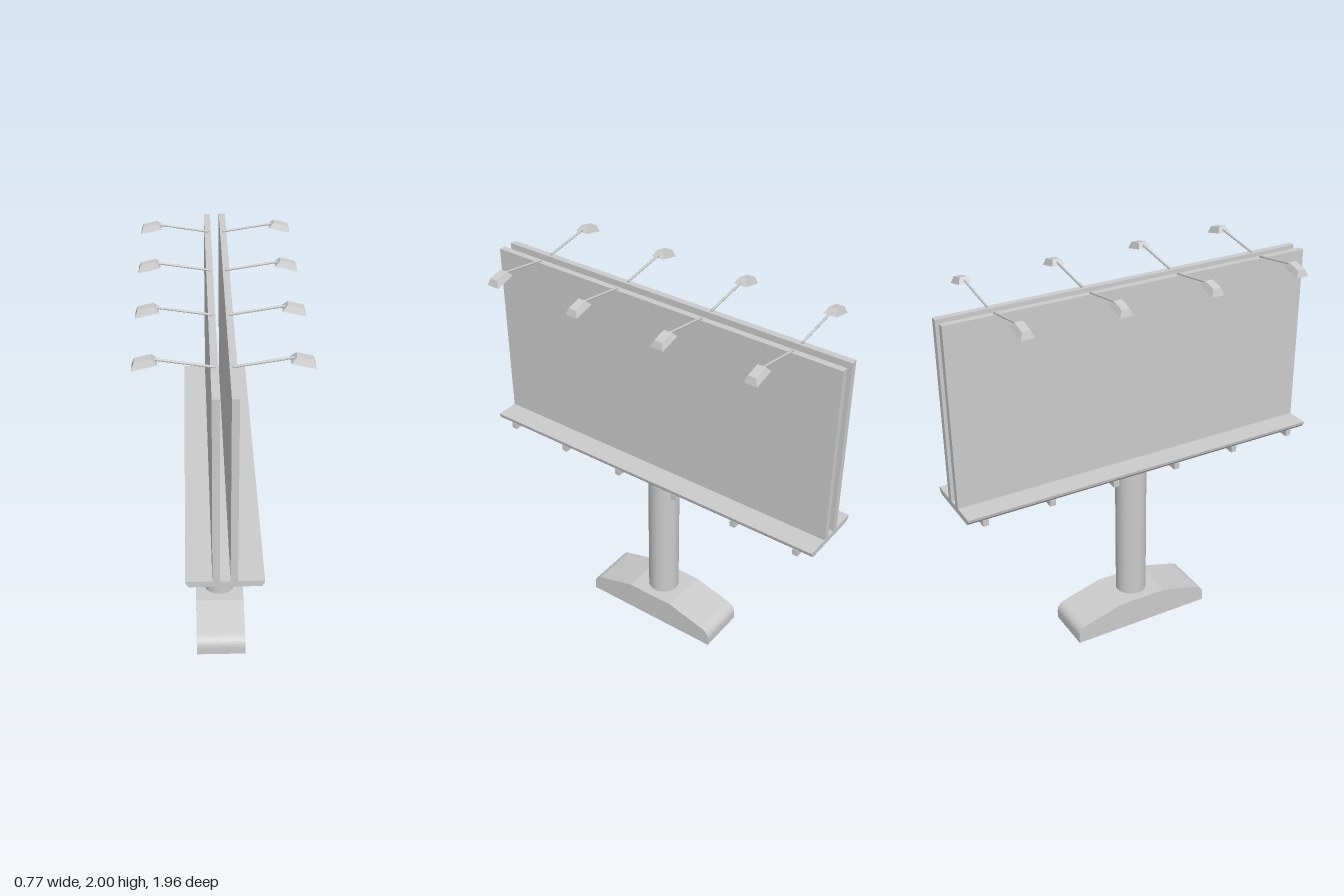
import * as THREE from 'three';

const grey = new THREE.MeshStandardMaterial({ color: 0xcccccc, side: THREE.DoubleSide });
const flat = new THREE.MeshStandardMaterial({ color: 0xcccccc, flatShading: true, side: THREE.DoubleSide });

function add(parent, name, geometry, material = flat) {
  const mesh = new THREE.Mesh(geometry, material);
  mesh.name = name;
  parent.add(mesh);
  return mesh;
}

function box(parent, name, w, h, d, x, y, z) {
  const mesh = add(parent, name, new THREE.BoxGeometry(w, h, d));
  mesh.position.set(x, y, z);
  return mesh;
}

// Hollow base: side outline swept across x, open underneath
function buildBase(parent) {
  const hw = 0.13;
  const outline = new THREE.Shape();
  outline.moveTo(-0.39, 0);
  outline.lineTo(-0.39, 0.045);
  outline.quadraticCurveTo(-0.388, 0.086, -0.345, 0.1);
  outline.lineTo(-0.135, 0.158);
  outline.lineTo(0.135, 0.158);
  outline.lineTo(0.345, 0.1);
  outline.quadraticCurveTo(0.388, 0.086, 0.39, 0.045);
  outline.lineTo(0.39, 0);
  const base = new THREE.Group();
  base.name = 'base';
  parent.add(base);

  for (const side of [1, -1]) {
    const wall = add(base, 'baseSideWall', new THREE.ShapeGeometry(outline, 6));
    wall.rotation.y = side * Math.PI / 2;
    wall.position.x = side * hw;
  }
  const points = outline.getPoints(6);
  const pos = [];
  for (let i = 0; i < points.length - 1; i++) {
    const a = points[i], b = points[i + 1];
    pos.push(-hw, a.y, a.x, -hw, b.y, b.x, hw, b.y, b.x);
    pos.push(-hw, a.y, a.x, hw, b.y, b.x, hw, a.y, a.x);
  }
  const cover = new THREE.BufferGeometry();
  cover.setAttribute('position', new THREE.Float32BufferAttribute(pos, 3));
  cover.computeVertexNormals();
  add(base, 'baseCover', cover);
}

// Walkway slab with chamfered lower edges
function buildPlatform(parent) {
  const s = new THREE.Shape();
  s.moveTo(-0.178, 1);
  s.lineTo(-0.175, 0.985);
  s.lineTo(-0.162, 0.969);
  s.lineTo(0.162, 0.969);
  s.lineTo(0.175, 0.985);
  s.lineTo(0.178, 1);
  s.closePath();
  const geometry = new THREE.ExtrudeGeometry(s, { depth: 1.96, bevelEnabled: false });
  geometry.translate(0, 0, -0.98);
  add(parent, 'platform', geometry);
}

// Tapered lamp head: a box whose top face is shrunk, then tilted outward
function lampHeadGeometry() {
  const g = new THREE.BoxGeometry(0.11, 0.031, 0.068);
  const p = g.attributes.position;
  for (let i = 0; i < p.count; i++) {
    if (p.getY(i) > 0) {
      p.setX(i, p.getX(i) * 0.68);
      p.setZ(i, p.getZ(i) * 0.6);
    }
  }
  g.computeVertexNormals();
  return g;
}

function buildLamp(parent, side, z) {
  const lamp = new THREE.Group();
  lamp.name = 'lamp';
  lamp.position.z = z;
  if (side < 0) lamp.rotation.y = Math.PI;
  parent.add(lamp);

  const start = new THREE.Vector3(0.041, 1.945, 0);
  const end = new THREE.Vector3(0.293, 1.985, 0);
  const direction = end.clone().sub(start);
  const arm = add(lamp, 'lampArm', new THREE.CylinderGeometry(0.006, 0.006, direction.length(), 8), grey);
  arm.position.copy(start).add(end).multiplyScalar(0.5);
  arm.quaternion.setFromUnitVectors(new THREE.Vector3(0, 1, 0), direction.normalize());

  const foot = add(lamp, 'lampArmFoot', new THREE.CylinderGeometry(0.006, 0.006, 0.016, 8), grey);
  foot.position.set(0.041, 1.94, 0);

  const head = add(lamp, 'lampHead', lampHeadGeometry());
  head.position.set(0.335, 1.975, 0);
  head.rotation.z = -0.235;
}

export function createModel() {
  const model = new THREE.Group();
  model.name = 'billboard';

  buildBase(model);

  // Open tube running from the ground to the platform
  const pole = add(model, 'pole', new THREE.CylinderGeometry(0.082, 0.082, 0.96, 40, 1, true), grey);
  pole.position.y = 0.49;

  buildPlatform(model);

  // Cross beams under the platform
  for (let i = 0; i < 6; i++) {
    box(model, 'crossBeam', 0.334, 0.033, 0.03, 0, 0.9525, -0.886 + i * 0.3544);
  }

  // Two display panels back to back, each with its row of lamps
  for (const side of [1, -1]) {
    box(model, 'displayPanel', 0.033, 0.94, 1.96, side * 0.0405, 1.47, 0);
    for (const z of [-0.723, -0.241, 0.241, 0.723]) buildLamp(model, side, z);
  }
  return model;
}
